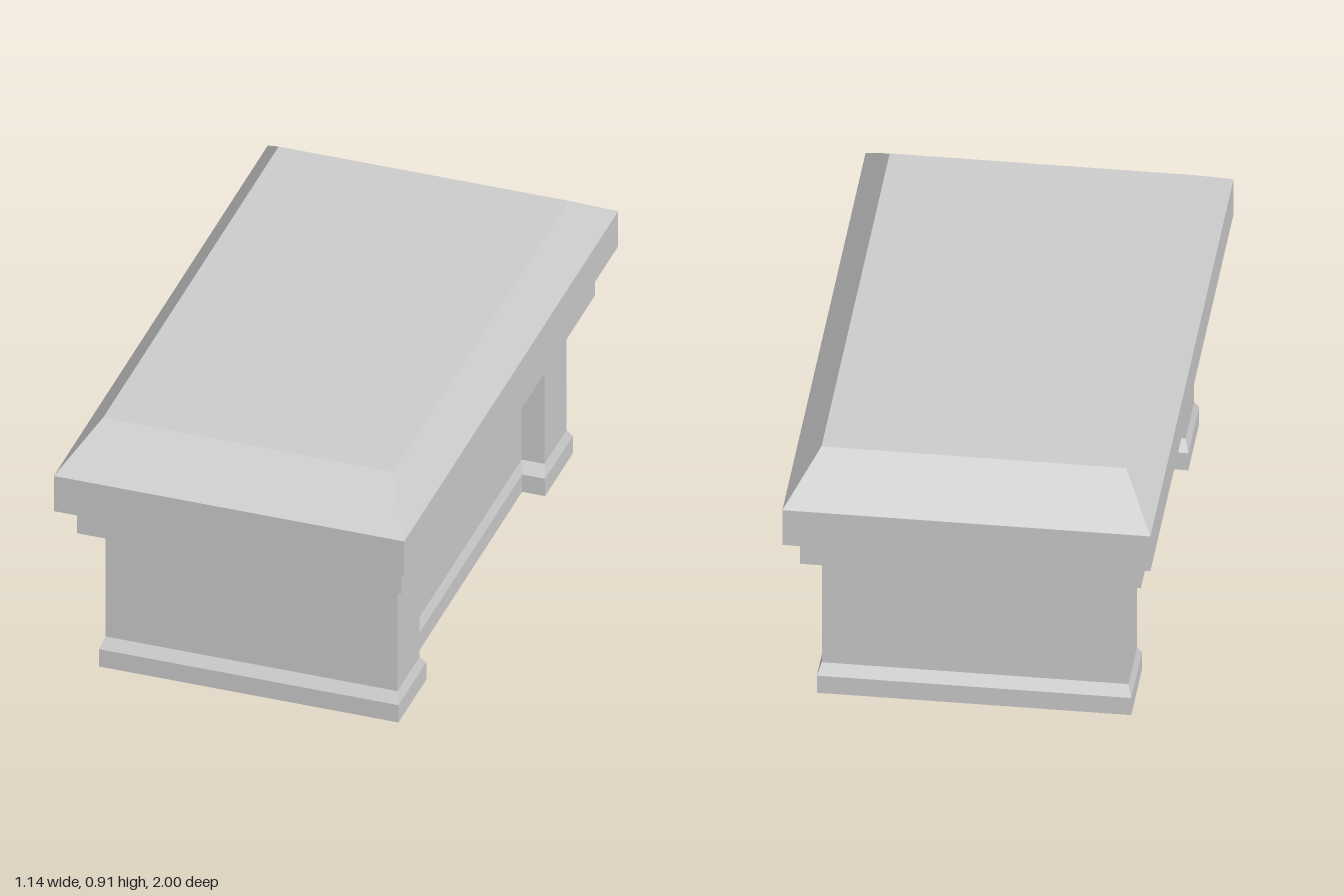
import * as THREE from 'three';

const material = new THREE.MeshStandardMaterial({ color: 0xcccccc, flatShading: true });

// Plain rectangular outline, as [x, z] corners
const rectangle = (x, z) => [[-x, z], [x, z], [x, -z], [-x, -z]];

// Rectangle with a shallow recess (wall at r, ends at +-n) in each long side
const recessed = (x, z, r, n) => [
  [-x, z], [x, z], [x, n], [r, n], [r, -n], [x, -n],
  [x, -z], [-x, -z], [-x, -n], [-r, -n], [-r, n], [-x, n],
];

// Side walls joining a stack of { y, outline } sections, from the bottom up
function loft(sections) {
  const positions = [];
  for (let s = 0; s < sections.length - 1; s++) {
    const low = sections[s], high = sections[s + 1];
    const count = low.outline.length;
    for (let i = 0; i < count; i++) {
      const j = (i + 1) % count;
      const at = (section, k) => [section.outline[k][0], section.y, section.outline[k][1]];
      const a = at(low, i), b = at(low, j), c = at(high, j), d = at(high, i);
      positions.push(...a, ...b, ...c, ...a, ...c, ...d);
    }
  }
  const geometry = new THREE.BufferGeometry();
  geometry.setAttribute('position', new THREE.Float32BufferAttribute(positions, 3));
  geometry.computeVertexNormals();
  return geometry;
}

// Flat horizontal face facing up (1) or down (-1)
function flatFace(outline, y, facing) {
  const shape = new THREE.Shape(outline.map(([x, z]) => new THREE.Vector2(x, -facing * z)));
  return new THREE.ShapeGeometry(shape).rotateX(-facing * Math.PI / 2).translate(0, y, 0);
}

export function createModel() {
  const model = new THREE.Group();
  const add = (name, geometry) => {
    const mesh = new THREE.Mesh(geometry, material);
    mesh.name = name;
    model.add(mesh);
  };

  // Pedestal: plinth, straight shaft and flared moulding, recessed on the long sides
  const pedestal = [
    [0, 0.487, 0.815, 0.412, 0.555],
    [0.063, 0.487, 0.815, 0.412, 0.555],
    [0.097, 0.475, 0.79, 0.4, 0.585],
    [0.47, 0.475, 0.79, 0.4, 0.585],
    [0.53, 0.528, 0.903, 0.46, 0.515],
  ].map(([y, ...size]) => ({ y, outline: recessed(...size) }));
  add('pedestal', loft(pedestal));
  add('pedestalUnderside', flatFace(pedestal[0].outline, 0, -1));

  // Soffits closing the top of each recess
  for (const side of [-1, 1]) {
    const strip = [[0.46, 0.515], [0.528, 0.515], [0.528, -0.515], [0.46, -0.515]];
    add('recessSoffit', flatFace(strip.map(([x, z]) => [side * x, z]), 0.53, -1));
  }

  // Slab: lower band, stepped lip, thick edge and bevelled top
  const slab = [
    [0.53, 0.528, 0.903],
    [0.637, 0.528, 0.903],
    [0.66, 0.57, 1],
    [0.788, 0.57, 1],
    [0.913, 0.472, 0.82],
  ].map(([y, ...size]) => ({ y, outline: rectangle(...size) }));
  add('slab', loft(slab));
  add('slabTop', flatFace(slab[4].outline, 0.913, 1));

  return model;
}
